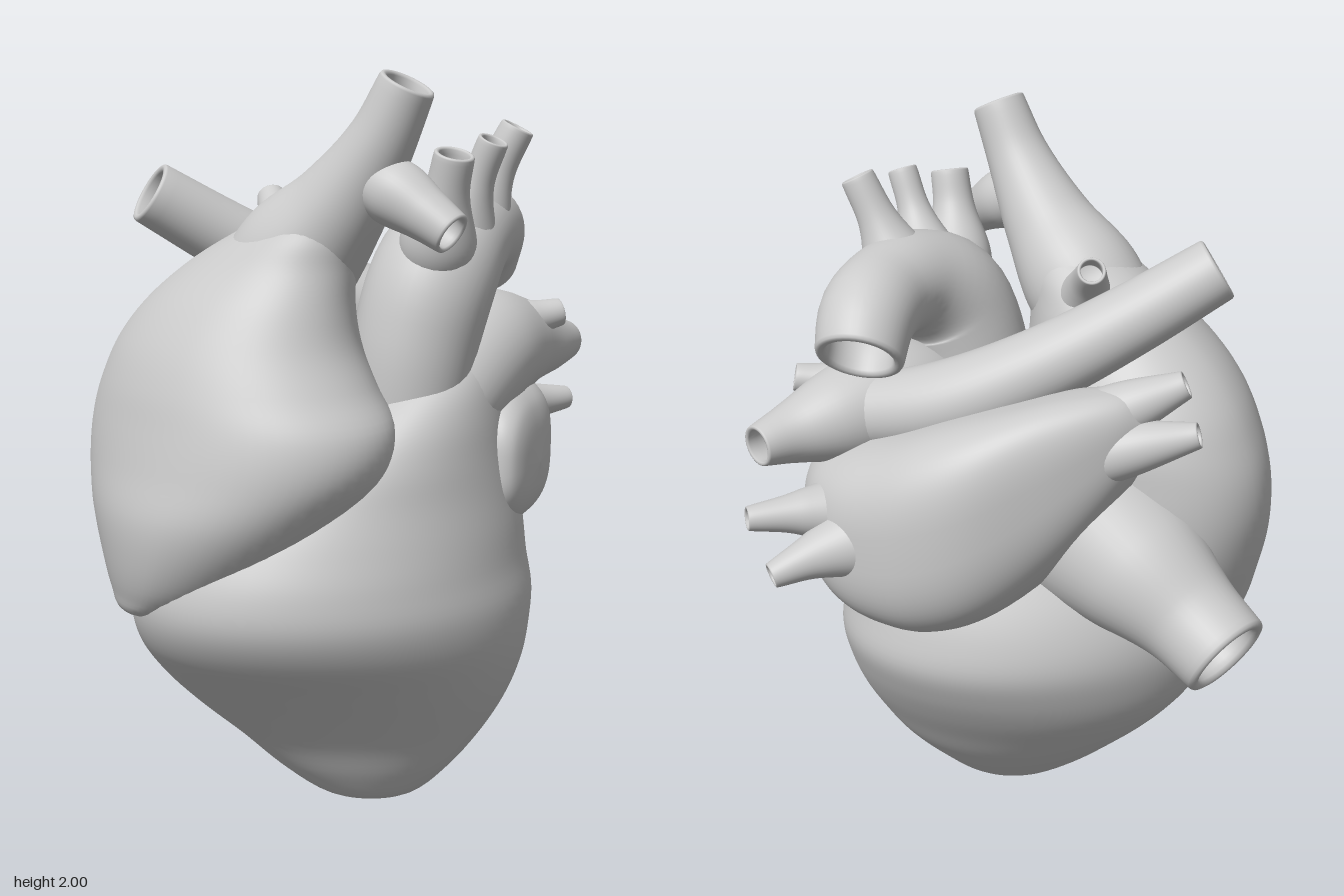
import * as THREE from 'three';

const material = new THREE.MeshStandardMaterial({ color: 0xcccccc, side: THREE.DoubleSide });
const SIDES = 40;

// Smooth interpolation through rows of numbers, t from 0 to 1
function rowSpline(rows) {
  const spline = new THREE.CubicInterpolant(rows.map((_, i) => i), rows.flat(), rows[0].length);
  return t => Array.from(spline.evaluate(t * (rows.length - 1)));
}

// Skin a list of closed rings of points
function skin(name, rings) {
  const n = rings[0].length, index = [];
  for (let i = 0; i < rings.length - 1; i++) {
    for (let j = 0; j < n; j++) {
      const a = i * n + j, b = i * n + (j + 1) % n;
      index.push(a, b, a + n, b, b + n, a + n);
    }
  }
  const geometry = new THREE.BufferGeometry().setFromPoints(rings.flat());
  geometry.setIndex(index);
  geometry.computeVertexNormals();
  const mesh = new THREE.Mesh(geometry, material);
  mesh.name = name;
  return mesh;
}

// Chamber: oval sections stacked along an axis.
// Rows for 'y': [y, xMin, xMax, zMin, zMax]; for 'x': [x, yMin, yMax, zMin, zMax]
// power below 1 is boxier, above 1 more pointed; skew slants each section in z
function chamber(name, axis, rows, power, skew) {
  const at = rowSpline(rows), rings = [], steps = 72, sides = 72;
  const soft = v => Math.sign(v) * Math.abs(v) ** power;
  for (let i = 0; i <= steps; i++) {
    const [level, a0, a1, z0, z1] = at(i / steps);
    const ring = [];
    for (let j = 0; j < sides; j++) {
      const angle = j / sides * Math.PI * 2, c = soft(Math.cos(angle)), s = soft(Math.sin(angle));
      const [p, q] = axis === 'y' ? [s, c] : [c, s];
      const offset = (a1 - a0) / 2 * p, a = (a0 + a1) / 2 + offset;
      const z = (z0 + z1) / 2 + (z1 - z0) / 2 * q + skew * offset;
      ring.push(axis === 'y' ? new THREE.Vector3(a, level, z) : new THREE.Vector3(level, a, z));
    }
    rings.push(ring);
  }
  return skin(name, rings);
}

// Vessel: tapering tube through [x, y, z, radius], with a rounded lip and hollow end
function vessel(name, pts) {
  const curve = new THREE.CatmullRomCurve3(pts.map(p => new THREE.Vector3(p[0], p[1], p[2])));
  const radiusAt = rowSpline(pts.map(p => [p[3]]));
  const steps = 32, frames = curve.computeFrenetFrames(steps), rings = [];
  const addRing = (i, scale, push = 0) => {
    const u = i / steps, r = radiusAt(curve.getUtoTmapping(u))[0] * scale;
    const centre = curve.getPointAt(u).addScaledVector(frames.tangents[i], push);
    rings.push(Array.from({ length: SIDES }, (_, j) => {
      const angle = j / SIDES * Math.PI * 2;
      return centre.clone()
        .addScaledVector(frames.normals[i], Math.cos(angle) * r)
        .addScaledVector(frames.binormals[i], Math.sin(angle) * r);
    }));
  };
  addRing(0, 0.001);
  for (let i = 0; i <= steps; i++) addRing(i, 1);
  const lip = pts[pts.length - 1][3] * 0.1;
  for (const [scale, push] of [[0.97, 0.7], [0.9, 1], [0.81, 0.8], [0.76, 0]]) addRing(steps, scale, lip * push);
  for (let i = steps - 1; i >= steps - 8; i--) addRing(i, 0.73);
  addRing(steps - 8, 0.001);
  return skin(name, rings);
}

export function createModel() {
  const heart = new THREE.Group();
  heart.name = 'heart';

  // Ventricles, narrowing upward into the root of the pulmonary trunk
  heart.add(chamber('ventricles', 'y', [
    [0, 0.22, 0.22, 0.04, 0.04],
    [0.025, 0.1, 0.34, -0.04, 0.13],
    [0.1, -0.02, 0.43, -0.12, 0.2],
    [0.2, -0.14, 0.51, -0.21, 0.27],
    [0.3, -0.25, 0.57, -0.28, 0.36],
    [0.4, -0.33, 0.61, -0.35, 0.46],
    [0.5, -0.37, 0.63, -0.41, 0.56],
    [0.6, -0.38, 0.635, -0.45, 0.615],
    [0.7, -0.36, 0.62, -0.44, 0.615],
    [0.8, -0.3, 0.61, -0.41, 0.575],
    [0.9, -0.18, 0.595, -0.37, 0.515],
    [1, 0, 0.58, -0.32, 0.44],
    [1.1, 0.17, 0.57, -0.27, 0.34],
    [1.2, 0.3, 0.56, -0.23, 0.21],
    [1.3, 0.36, 0.54, -0.2, 0.05],
    [1.36, 0.45, 0.45, -0.08, -0.08],
  ], 1, -0.2));

  // Right atrium with the great veins
  heart.add(chamber('rightAtrium', 'y', [
    [0.56, -0.29, -0.29, 0.32, 0.32],
    [0.59, -0.39, -0.14, 0.12, 0.5],
    [0.65, -0.435, 0.03, 0, 0.58],
    [0.75, -0.47, 0.16, -0.06, 0.635],
    [0.87, -0.505, 0.28, -0.09, 0.665],
    [0.99, -0.525, 0.375, -0.09, 0.655],
    [1.1, -0.52, 0.39, -0.09, 0.635],
    [1.2, -0.49, 0.33, -0.09, 0.605],
    [1.3, -0.44, 0.28, -0.07, 0.565],
    [1.4, -0.355, 0.26, -0.02, 0.515],
    [1.5, -0.23, 0.26, 0.04, 0.455],
    [1.58, -0.09, 0.27, 0.1, 0.42],
    [1.65, 0.06, 0.26, 0.18, 0.38],
    [1.68, 0.17, 0.17, 0.29, 0.29],
  ], 1.06, 0.25));
  heart.add(vessel('superiorVenaCava', [
    [-0.05, 1.36, 0.25, 0.14], [0.09, 1.52, 0.26, 0.165], [0.22, 1.66, 0.29, 0.125],
    [0.335, 1.82, 0.32, 0.088], [0.405, 1.96, 0.33, 0.073]]));
  heart.add(vessel('brachiocephalicVein', [
    [0.29, 1.73, 0.31, 0.07], [0.38, 1.695, 0.33, 0.085], [0.47, 1.645, 0.355, 0.067], [0.535, 1.605, 0.37, 0.056]]));
  heart.add(vessel('azygosVein', [
    [0.03, 1.49, 0.16, 0.09], [-0.035, 1.59, 0.08, 0.055], [-0.085, 1.655, 0.01, 0.038]]));
  heart.add(vessel('inferiorVenaCava', [
    [-0.12, 0.95, -0.02, 0.26], [-0.31, 0.865, -0.07, 0.195], [-0.45, 0.785, -0.09, 0.145], [-0.575, 0.715, -0.115, 0.13]]));

  // Aorta and the three branches of its arch
  heart.add(vessel('aorta', [
    [0.33, 1, 0.12, 0.14], [0.36, 1.3, 0.1, 0.165], [0.4, 1.48, 0.05, 0.165], [0.425, 1.56, -0.08, 0.14],
    [0.425, 1.565, -0.2, 0.13], [0.4, 1.54, -0.32, 0.128], [0.37, 1.465, -0.4, 0.118]]));
  const archBranches = [
    [[0.41, 1.46, 0.08, 0.08], [0.43, 1.56, 0.14, 0.1], [0.465, 1.69, 0.185, 0.06], [0.49, 1.785, 0.205, 0.052]],
    [[0.44, 1.56, 0.02, 0.12], [0.5, 1.7, 0.05, 0.05], [0.55, 1.815, 0.065, 0.04]],
    [[0.44, 1.58, -0.1, 0.12], [0.5, 1.72, -0.115, 0.058], [0.56, 1.84, -0.125, 0.046]],
  ];
  archBranches.forEach((pts, i) => heart.add(vessel('archBranch' + (i + 1), pts)));

  // Pulmonary arteries
  heart.add(vessel('leftPulmonaryArtery', [
    [0.38, 0.98, 0.13, 0.12], [0.41, 1.15, 0.01, 0.165], [0.45, 1.235, -0.15, 0.17], [0.5, 1.24, -0.32, 0.135],
    [0.56, 1.225, -0.46, 0.085], [0.59, 1.22, -0.565, 0.057]]));
  heart.add(vessel('leftArteryBranch', [
    [0.47, 1.28, -0.23, 0.1], [0.57, 1.315, -0.3, 0.052], [0.63, 1.33, -0.345, 0.038]]));
  heart.add(vessel('rightPulmonaryArtery', [
    [0.47, 1.24, -0.29, 0.1], [0.22, 1.3, -0.22, 0.115], [0, 1.41, -0.11, 0.105],
    [-0.2, 1.54, 0.03, 0.095], [-0.37, 1.665, 0.16, 0.086]]));

  // Left atrium at the back, with the pulmonary veins
  heart.add(chamber('leftAtrium', 'x', [
    [-0.34, 1.3, 1.3, -0.1, -0.1],
    [-0.28, 1.14, 1.39, -0.21, 0],
    [-0.15, 0.93, 1.39, -0.36, 0],
    [0, 0.77, 1.35, -0.49, 0],
    [0.15, 0.7, 1.3, -0.55, 0],
    [0.3, 0.69, 1.24, -0.555, 0.02],
    [0.42, 0.71, 1.2, -0.53, 0.04],
    [0.52, 0.75, 1.17, -0.47, 0.06],
    [0.595, 0.8, 1.13, -0.38, 0.06],
    [0.63, 0.86, 1.07, -0.28, 0.01],
    [0.645, 0.95, 0.95, -0.12, -0.12],
  ], 0.7, 0));
  const veins = [
    [[0.36, 1, -0.33, 0.14], [0.49, 1.035, -0.53, 0.062], [0.58, 1.04, -0.64, 0.033]],
    [[0.3, 0.98, -0.4, 0.14], [0.415, 0.945, -0.565, 0.067], [0.485, 0.91, -0.67, 0.035]],
    [[-0.07, 1.24, -0.18, 0.09], [-0.25, 1.34, -0.1, 0.075], [-0.385, 1.41, -0.02, 0.038]],
    [[-0.07, 1.17, -0.2, 0.09], [-0.28, 1.25, -0.14, 0.075], [-0.45, 1.3, -0.065, 0.035]],
  ];
  veins.forEach((pts, i) => heart.add(vessel((i < 2 ? 'left' : 'right') + 'PulmonaryVein' + (i % 2 + 1), pts)));

  return heart;
}
